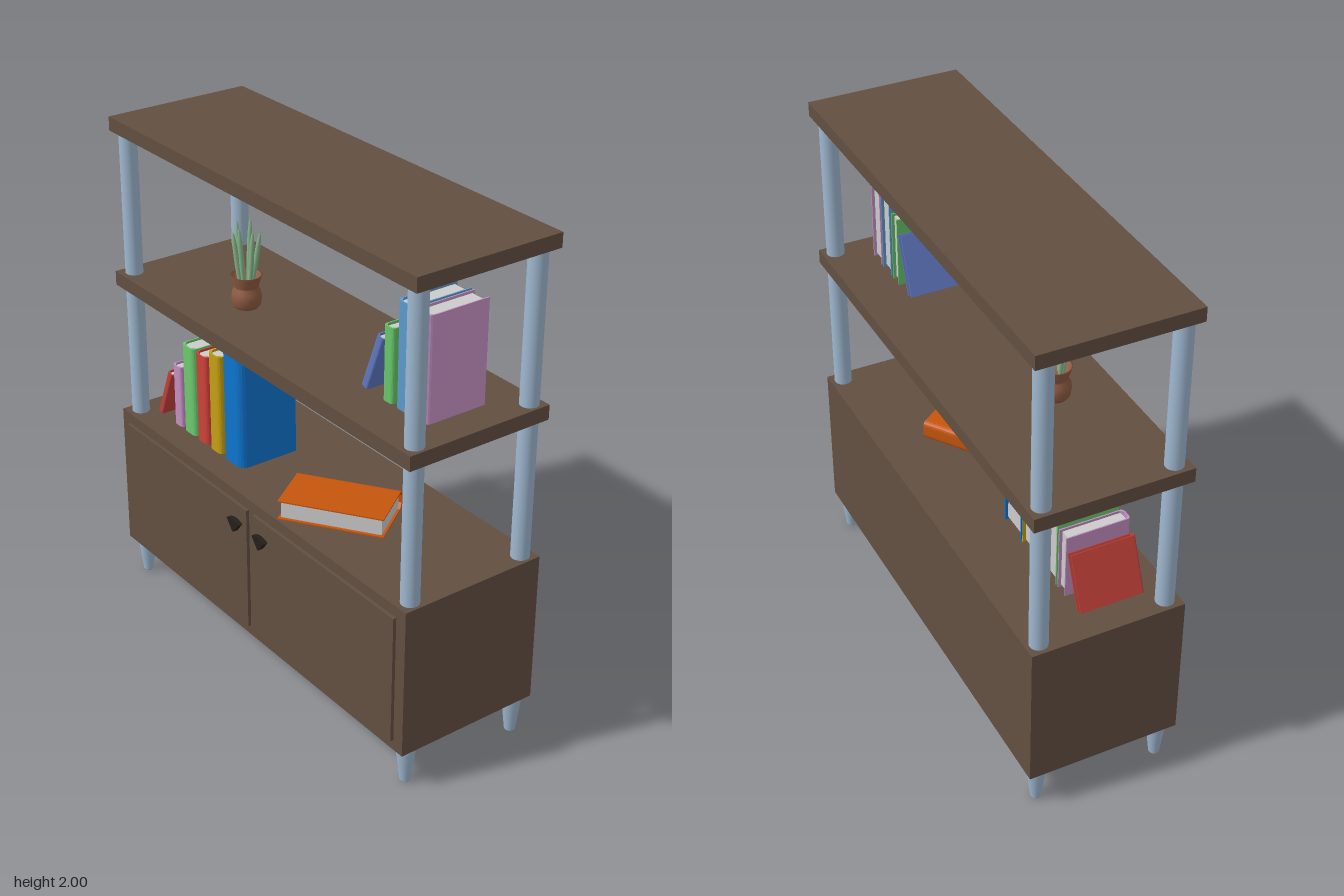
import * as THREE from 'three';

const material = (color, side = THREE.FrontSide) =>
  new THREE.MeshStandardMaterial({ color, side });

const WOOD = material(0x624f41);
const METAL = material(0x9fb8d0);
const DARK = material(0x241f1a);
const CLAY = material(0x8f5a42, THREE.DoubleSide);
const LEAF = material(0x86b58a);
const PAPER = material(0xcccccc);

function add(parent, name, geometry, mat, x = 0, y = 0, z = 0) {
  const mesh = new THREE.Mesh(geometry, mat);
  mesh.name = name;
  mesh.position.set(x, y, z);
  parent.add(mesh);
  return mesh;
}

// Box given by its minimum and maximum on each axis
function slab(parent, name, [x0, x1], [y0, y1], [z0, z1], mat = WOOD) {
  return add(parent, name, new THREE.BoxGeometry(x1 - x0, y1 - y0, z1 - z0), mat,
    (x0 + x1) / 2, (y0 + y1) / 2, (z0 + z1) / 2);
}

// Book standing on y = 0 with its rounded spine towards +z
function book(t, h, d, color) {
  const g = new THREE.Group();
  g.name = 'book';
  const c = 0.005, r = t * 0.3, w = t / 2, e = d / 2;
  const s = new THREE.Shape();
  s.moveTo(-w, e);
  s.lineTo(-w, -e + r);
  s.quadraticCurveTo(-w, -e, -w + r, -e);
  s.lineTo(w - r, -e);
  s.quadraticCurveTo(w, -e, w, -e + r);
  s.lineTo(w, e);
  s.lineTo(w - c, e);
  s.lineTo(w - c, -e + r);
  s.lineTo(w - r, -e + c);
  s.lineTo(-w + r, -e + c);
  s.lineTo(-w + c, -e + r);
  s.lineTo(-w + c, e);
  s.closePath();
  const cover = new THREE.ExtrudeGeometry(s, { depth: h, bevelEnabled: false, curveSegments: 5 });
  cover.rotateX(-Math.PI / 2);
  add(g, 'bookCover', cover, material(color));
  slab(g, 'bookPages', [-w + c, w - c], [0.01, h - 0.01], [-e + 0.012, e - r * 0.7], PAPER);
  return g;
}

// Upright row: [left x, right x, top y, color]
function bookRow(parent, base, z, d, rows) {
  for (const [x0, x1, top, color] of rows) {
    const b = book(x1 - x0, top - base, d, color);
    b.position.set((x0 + x1) / 2, base, z);
    parent.add(b);
  }
}

// Book leaning to +x, its lower right edge resting at (x, base)
function leaningBook(parent, x, base, z, t, h, d, angle, color) {
  const b = book(t, h, d, color);
  b.name = 'leaningBook';
  b.rotation.z = -angle;
  b.position.set(x - t / 2 * Math.cos(angle), base + t / 2 * Math.sin(angle), z);
  parent.add(b);
}

export function createModel() {
  const model = new THREE.Group();
  model.name = 'bookcase';
  const Z = [-0.315, 0.29];

  // Cabinet and shelves
  slab(model, 'cabinet', [-0.923, 0.905], [0.155, 0.76], Z);
  slab(model, 'middleShelf', [-0.923, 0.905], [1.31, 1.367], Z);
  slab(model, 'topShelf', [-0.913, 0.915], [1.945, 2], Z);

  // Doors
  slab(model, 'rightDoor', [-0.87, -0.026], [0.197, 0.716], [0.28, 0.303]);
  slab(model, 'leftDoor', [0.01, 0.855], [0.197, 0.716], [0.28, 0.303]);

  // Fan-shaped handles
  const fan = new THREE.Shape();
  fan.moveTo(-0.04, 0.017);
  fan.quadraticCurveTo(-0.028, 0.004, -0.008, -0.022);
  fan.quadraticCurveTo(0, -0.034, 0.008, -0.022);
  fan.quadraticCurveTo(0.028, 0.004, 0.04, 0.017);
  fan.quadraticCurveTo(0, 0.036, -0.04, 0.017);
  for (const x of [-0.092, 0.073]) {
    add(model, 'doorHandle',
      new THREE.ExtrudeGeometry(fan, { depth: 0.022, bevelEnabled: false, curveSegments: 8 }),
      DARK, x, 0.628, 0.3);
  }

  // Posts and tapered feet
  const foot = new THREE.LatheGeometry([
    [0, 0], [0.019, 0], [0.021, 0.004], [0.035, 0.125], [0.037, 0.145], [0.036, 0.156],
  ].map(([r, y]) => new THREE.Vector2(r, y)), 24);
  for (const x of [-0.873, 0.859]) {
    for (const z of [-0.264, 0.235]) {
      for (const [y0, y1] of [[0.76, 1.31], [1.367, 1.945]]) {
        add(model, 'post', new THREE.CylinderGeometry(0.035, 0.035, y1 - y0, 24),
          METAL, x, (y0 + y1) / 2, z);
      }
      add(model, 'foot', foot, METAL, x, 0, z);
    }
  }

  // Books on the cabinet
  leaningBook(model, -0.79, 0.76, 0.058, 0.03, 0.22, 0.255, 0.38, 0xc0403a);
  bookRow(model, 0.76, 0.058, 0.255, [
    [-0.7, -0.643, 1.024, 0xc48fc2],
    [-0.632, -0.548, 1.14, 0x6cc96e],
    [-0.537, -0.458, 1.14, 0xcc4239],
    [-0.447, -0.368, 1.178, 0xc49f14],
    [-0.357, -0.225, 1.236, 0x0d74cc],
  ]);

  // Books on the middle shelf
  leaningBook(model, 0.452, 1.367, -0.011, 0.035, 0.236, 0.254, 0.36, 0x5f78c0);
  bookRow(model, 1.367, -0.011, 0.254, [
    [0.537, 0.59, 1.65, 0x66c569],
    [0.606, 0.685, 1.767, 0x5b9acb],
    [0.696, 0.775, 1.767, 0xc892c6],
  ]);

  // Book lying flat, spine towards the back
  const flat = book(0.078, 0.405, 0.231, 0xc5560c);
  flat.name = 'lyingBook';
  flat.rotation.set(0, Math.PI + 0.602, Math.PI / 2, 'YZX');
  flat.position.set(0.252 - 0.2025 * 0.824, 0.799, 0.075 + 0.2025 * 0.566);
  model.add(flat);

  // Potted plant
  const plant = new THREE.Group();
  plant.name = 'pottedPlant';
  plant.position.set(-0.355, 1.367, 0.06);
  model.add(plant);
  add(plant, 'pot', new THREE.LatheGeometry([
    [0, 0], [0.045, 0], [0.054, 0.012], [0.058, 0.04], [0.055, 0.062], [0.046, 0.078],
    [0.046, 0.086], [0.06, 0.129], [0.054, 0.129], [0.042, 0.1], [0, 0.1],
  ].map(([r, y]) => new THREE.Vector2(r, y)), 28), CLAY);

  // Leaves: [base x, base z, tip x, tip z, tip height]
  const up = new THREE.Vector3(0, 1, 0);
  for (const [bx, bz, tx, tz, h] of [
    [-0.022, 0.005, -0.043, 0.01, 0.335], [-0.008, -0.015, -0.011, -0.03, 0.345],
    [0.006, 0.016, 0.009, 0.035, 0.325], [0.024, 0, 0.038, -0.006, 0.312],
    [0.01, -0.02, 0.045, -0.035, 0.305], [-0.012, 0.02, -0.028, 0.038, 0.3],
  ]) {
    const from = new THREE.Vector3(bx, 0.09, bz);
    const dir = new THREE.Vector3(tx, h, tz).sub(from);
    const leaf = new THREE.LatheGeometry(
      [[0.007, 0], [0.01, 0.35], [0.009, 0.75], [0.005, 0.93], [0, 1]]
        .map(([r, y]) => new THREE.Vector2(r, y * dir.length())), 10);
    const mesh = add(plant, 'leaf', leaf, LEAF, from.x, from.y, from.z);
    mesh.quaternion.setFromUnitVectors(up, dir.clone().normalize());
  }
  return model;
}
